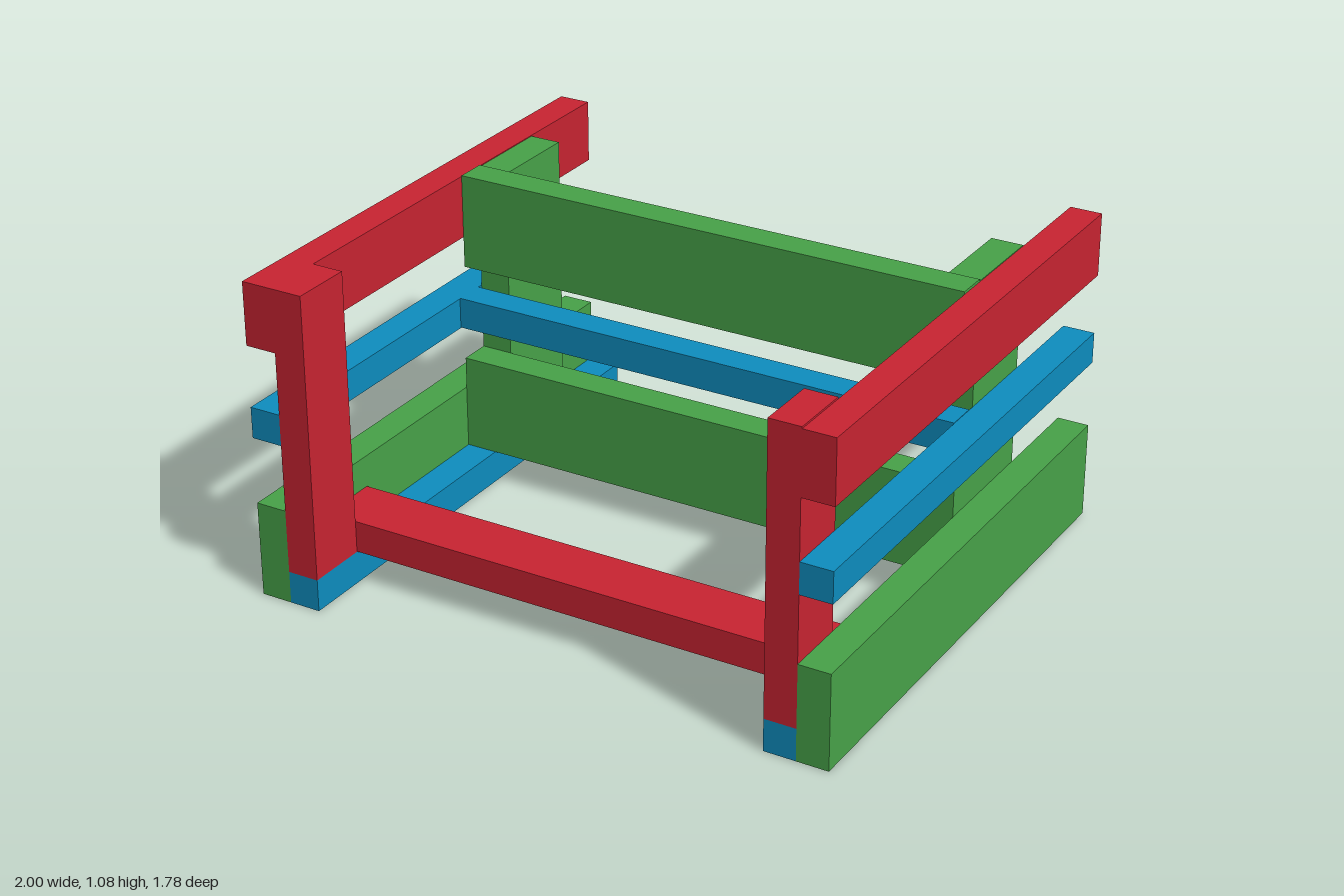
import * as THREE from 'three';

const RED = new THREE.MeshStandardMaterial({ color: 0xc92432, flatShading: true });
const GREEN = new THREE.MeshStandardMaterial({ color: 0x48a349, flatShading: true });
const BLUE = new THREE.MeshStandardMaterial({ color: 0x0e8ec0, flatShading: true });

// Board given by its extents along each axis
function board(name, material, [x0, x1], [y0, y1], [z0, z1]) {
  const mesh = new THREE.Mesh(new THREE.BoxGeometry(x1 - x0, y1 - y0, z1 - z0), material);
  mesh.position.set((x0 + x1) / 2, (y0 + y1) / 2, (z0 + z1) / 2);
  mesh.name = name;
  return mesh;
}

export function createModel() {
  const chair = new THREE.Group();
  chair.name = 'slatChair';
  const depth = [-0.89, 0.89];

  // Side frames: outer boards and the posts and runner inside them
  for (const [side, s] of [['left', 1], ['right', -1]]) {
    const frame = new THREE.Group();
    frame.name = side + 'SideFrame';
    const outer = s > 0 ? [0.893, 1] : [-1, -0.893];
    const inner = s > 0 ? [0.786, 0.893] : [-0.893, -0.786];
    const armTop = s > 0 ? 1.066 : 1.072;
    frame.add(
      board('armrest', RED, outer, [armTop - 0.212, armTop], depth),
      board('middleRail', BLUE, outer, [0.548, 0.653], depth),
      board('baseBoard', GREEN, outer, [0, 0.323], depth),
      board('runner', BLUE, inner, [0, 0.109], depth),
      board('frontPost', RED, inner, [0.109, 1.072], [0.68, 0.89]),
      board('rearPost', GREEN, inner, [0.109, 1.069], [-0.535, -0.215])
    );
    chair.add(frame);
  }

  // Cross members joining the two frames
  const width = [-0.893, 0.893];
  chair.add(
    board('frontCrossbar', RED, width, [0.109, 0.216], [0.468, 0.678]),
    board('upperBackBoard', GREEN, width, [0.755, 1.075], [-0.225, -0.12]),
    board('middleCrossRail', BLUE, width, [0.55, 0.655], [-0.192, -0.087]),
    board('lowerBackBoard', GREEN, width, [0.109, 0.43], [-0.215, -0.108])
  );
  return chair;
}
